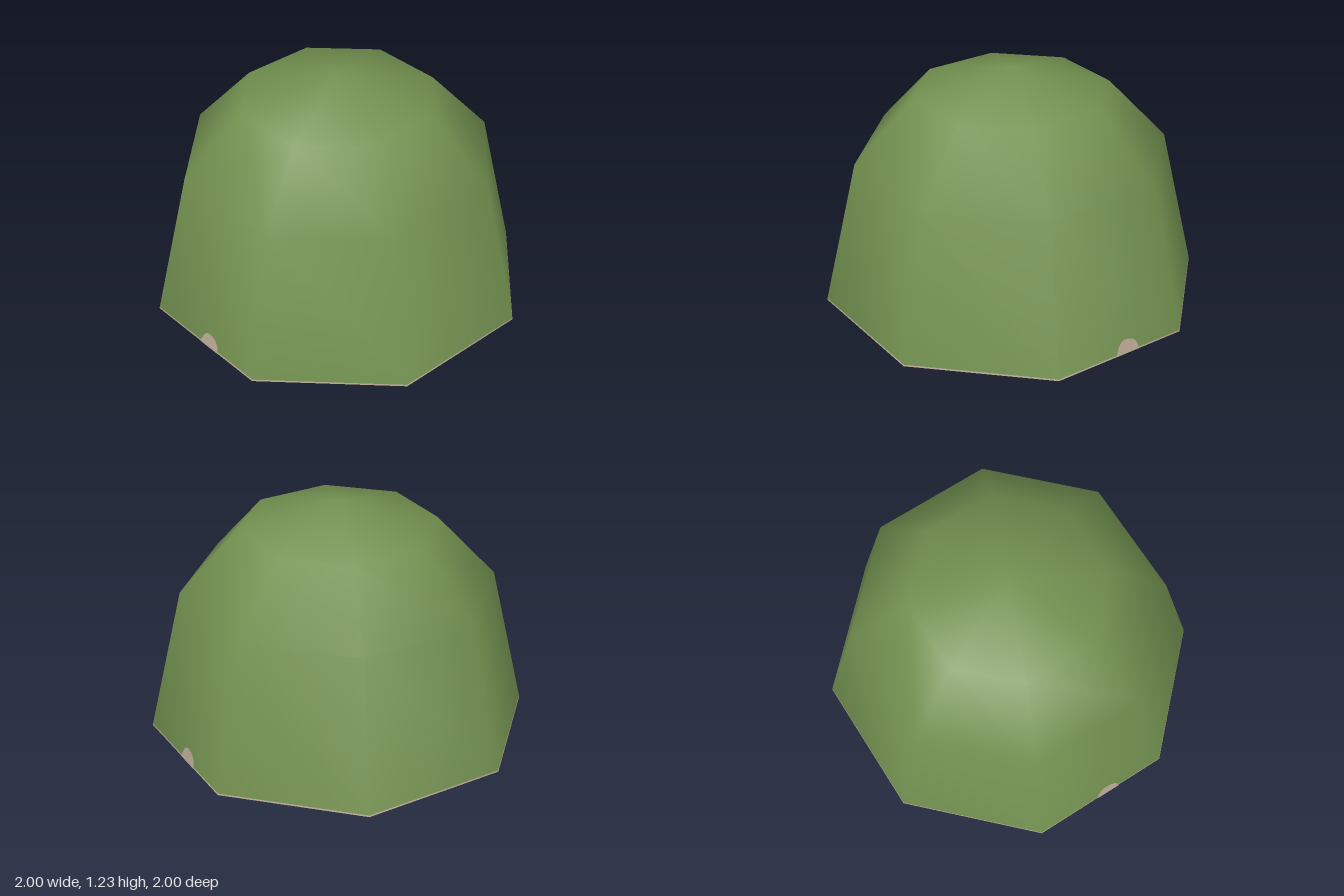
import * as THREE from 'three';
import { mergeVertices } from 'three/addons/utils/BufferGeometryUtils.js';

const SIDES = 8;

// Revolve a profile (bottom to top) with normals smoothed across every seam
function smoothLathe(profile) {
  const geo = new THREE.LatheGeometry(profile.map(([r, y]) => new THREE.Vector2(r, y)), SIDES);
  geo.deleteAttribute('normal');
  geo.deleteAttribute('uv');
  const merged = mergeVertices(geo, 1e-4);
  merged.computeVertexNormals();
  return merged;
}

export function createModel() {
  const group = new THREE.Group();
  const material = (name, color) => {
    const m = new THREE.MeshStandardMaterial({ color });
    m.name = name;
    return m;
  };
  const green = material('green skin', 0x739150);
  const pale = material('pale rind', 0xb8a794);
  const red = material('red flesh', 0xdf706a);

  const add = (name, geo, mat) => {
    const mesh = new THREE.Mesh(geo, mat);
    mesh.name = name;
    group.add(mesh);
    return mesh;
  };

  // Faceted dome and the thin pale rim under it
  add('domeSkin', smoothLathe([[0.998, 0.008], [0.82, 0.77], [0.51, 1.105], [0, 1.23]]), green);
  add('rim', smoothLathe([[1, 0], [0.998, 0.008]]), pale);

  // Cut face: pale outer ring and red centre
  const ring = new THREE.RingGeometry(0.935, 1, SIDES, 1);
  add('rindRing', ring, pale).rotation.x = Math.PI / 2;
  const centre = new THREE.CircleGeometry(0.935, SIDES);
  add('fleshFace', centre, red).rotation.x = Math.PI / 2;

  // Small pale patches at the foot of two opposite facets
  const patch = new THREE.Shape();
  patch.moveTo(-0.07, 0);
  patch.bezierCurveTo(-0.055, 0.055, -0.035, 0.075, -0.01, 0.075);
  patch.bezierCurveTo(0.03, 0.075, 0.07, 0.055, 0.07, 0);
  const patchGeo = new THREE.ShapeGeometry(patch, 6);
  const apothem = Math.cos(Math.PI / SIDES);
  const tilt = Math.atan2(0.18 * apothem, 0.77);
  for (const [name, turn] of [['frontPatch', 0], ['backPatch', Math.PI]]) {
    const angle = -Math.PI / SIDES + turn;
    const mesh = add(name, patchGeo, pale);
    mesh.rotation.set(-tilt, angle, 0, 'YXZ');
    mesh.position.set(0.042, 0.002, apothem + 0.003).applyAxisAngle(new THREE.Vector3(0, 1, 0), angle);
  }

  return group;
}
